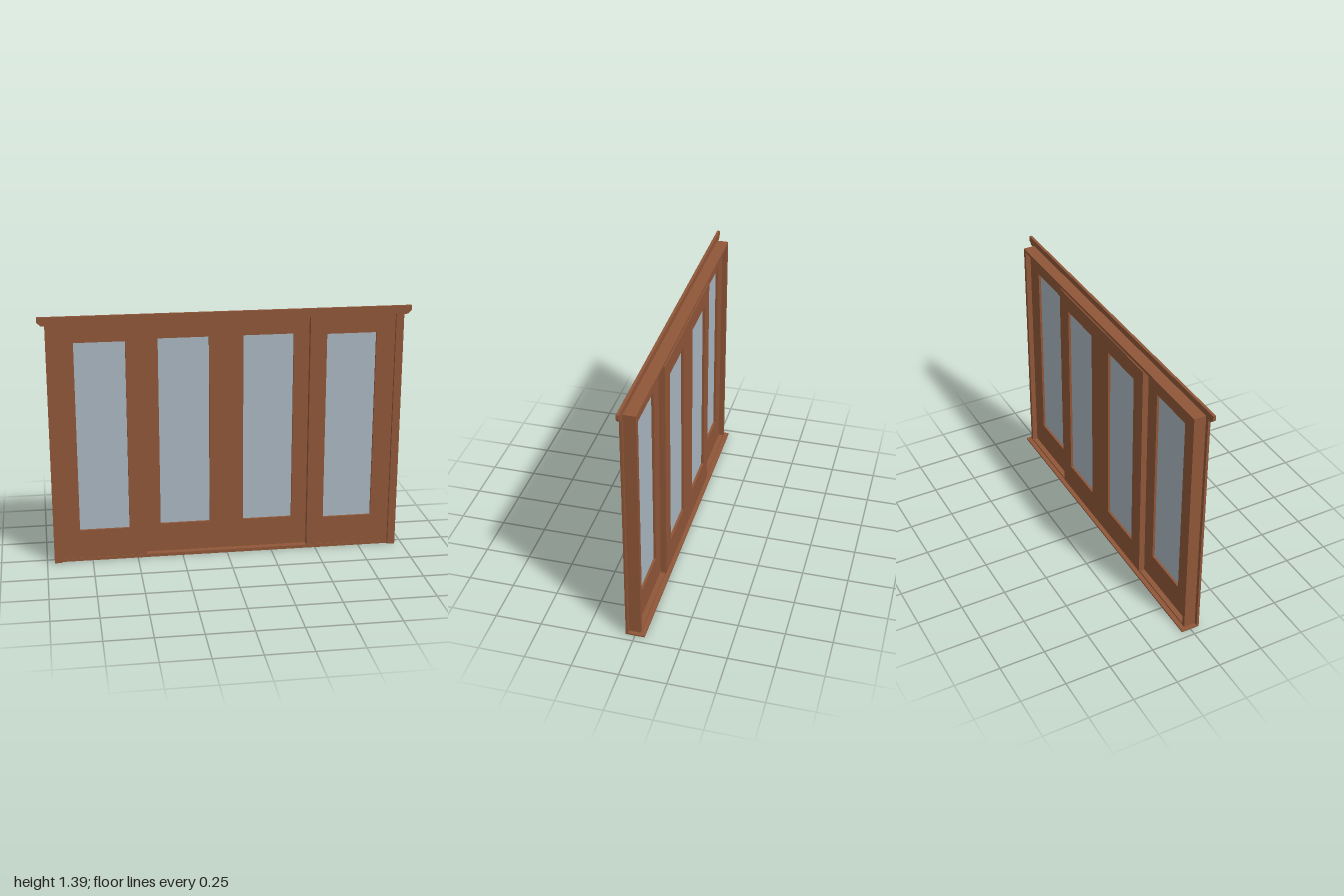
import * as THREE from 'three';

export function createModel() {
  const model = new THREE.Group();
  model.name = 'slidingDoor';
  const wood = new THREE.MeshStandardMaterial({ color: 0x8f5638 });
  wood.name = 'stained wood';
  const glass = new THREE.MeshStandardMaterial({ color: 0xa9b6c0 });
  glass.name = 'pale glass';

  // Box given by its minimum and maximum on each axis
  function box(name, x0, x1, y0, y1, z0, z1, material = wood, parent = model) {
    const mesh = new THREE.Mesh(new THREE.BoxGeometry(x1 - x0, y1 - y0, z1 - z0), material);
    mesh.position.set((x0 + x1) / 2, (y0 + y1) / 2, (z0 + z1) / 2);
    mesh.name = name;
    parent.add(mesh);
  }

  // Flat outline pushed out from z0 to z1
  function plate(name, shape, z0, z1, parent) {
    const geometry = new THREE.ExtrudeGeometry(shape, { depth: z1 - z0, bevelEnabled: false });
    geometry.translate(0, 0, z0);
    const mesh = new THREE.Mesh(geometry, wood);
    mesh.name = name;
    parent.add(mesh);
  }

  const rectangle = (x0, x1, y0, y1) => [[x0, y0], [x1, y0], [x1, y1], [x0, y1]]
    .map(([x, y]) => new THREE.Vector2(x, y));

  // Door leaf with a glazed opening, recessed on both faces
  function leaf(name, x0, x1, g0, g1, z0, z1) {
    const group = new THREE.Group();
    group.name = name;
    const shape = new THREE.Shape(rectangle(x0, x1, 0.018, 1.336));
    shape.holes.push(new THREE.Path(rectangle(g0, g1, 0.18, 1.24).reverse()));
    plate('leafFrame', shape, z0, z1, group);
    const mid = (z0 + z1) / 2;
    box('pane', g0, g1, 0.18, 1.24, mid - 0.003, mid + 0.003, glass, group);
    model.add(group);
  }

  // Sill, bottom track and head of the frame
  box('sill', -0.96, 0.96, 0, 0.009, -0.052, 0.037);
  box('bottomTrack', -0.92, 0.92, 0.009, 0.018, -0.027, 0.037);
  box('head', -0.94, 0.94, 1.336, 1.352, -0.027, 0.037);

  for (const side of [-1, 1]) {
    const label = side > 0 ? 'left' : 'right';
    const span = (a, b) => (side > 0 ? [a, b] : [-b, -a]);
    // Jamb and the flat casing on its front
    box(label + 'Jamb', ...span(0.918, 0.94), 0.009, 1.336, -0.027, 0.037);
    box(label + 'Casing', ...span(0.918, 0.96), 0, 1.34, 0.037, 0.05);
    // Outer leaf on the front track, inner leaf on the back track
    leaf(label + 'OuterLeaf', ...span(0.452, 0.918), ...span(0.543, 0.815), 0.002, 0.034);
    leaf(label + 'InnerLeaf', ...span(0, 0.46), ...span(0.093, 0.368), -0.033, 0);
  }

  // Header board with clipped lower corners
  const header = new THREE.Shape([
    [-0.98, 1.34], [0.98, 1.34], [1, 1.36], [1, 1.386], [-1, 1.386], [-1, 1.36],
  ].map(([x, y]) => new THREE.Vector2(x, y)));
  plate('header', header, 0.037, 0.052, model);

  return model;
}
